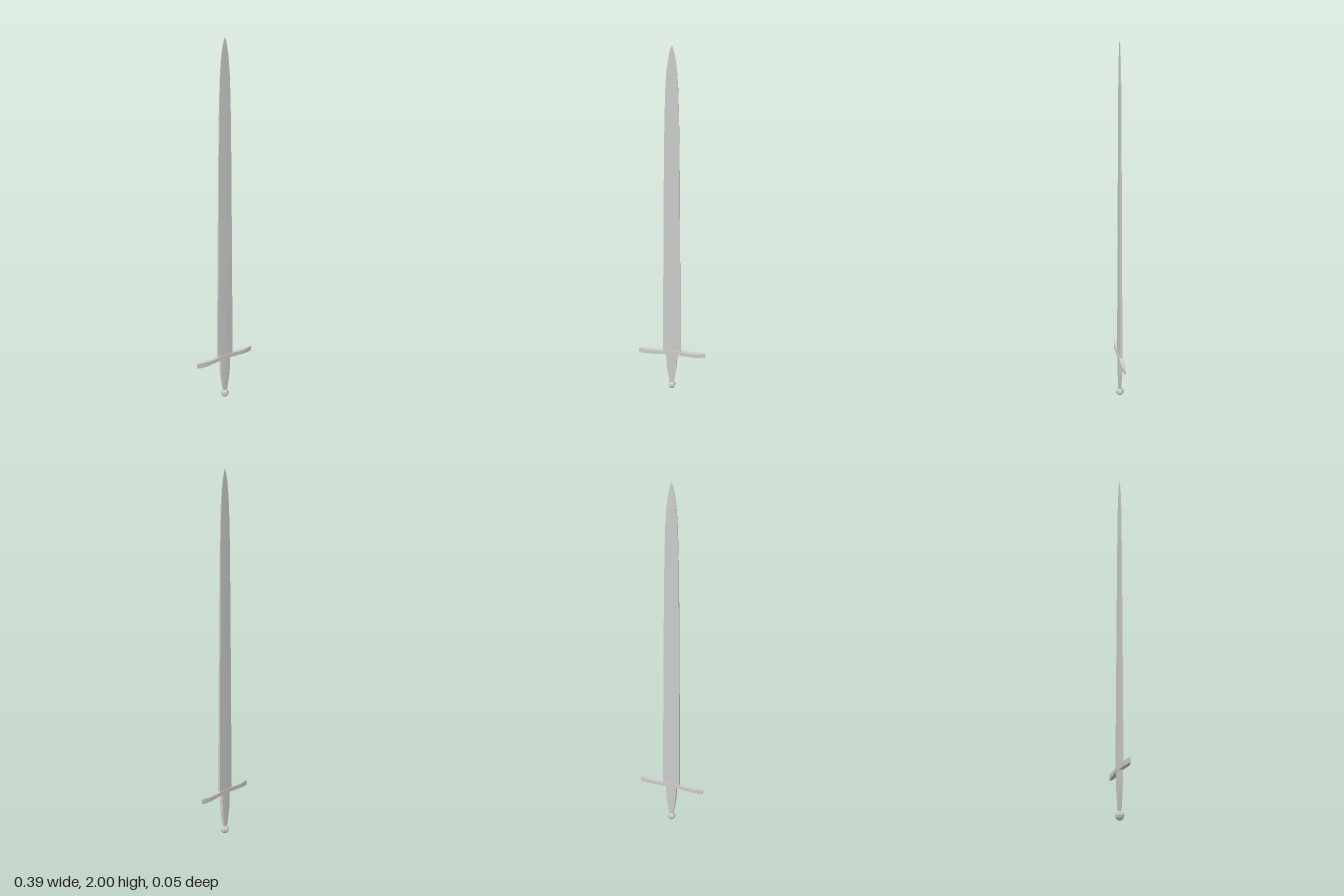
import * as THREE from 'three';

const material = new THREE.MeshStandardMaterial({ color: 0xcccccc, flatShading: true });

// Join equal-sized rings of points (counter-clockwise seen from the far end) and cap both ends.
function loft(rings) {
  const n = rings[0].length;
  const pos = rings.flat(2);
  const index = [];
  for (let r = 0; r < rings.length - 1; r++) {
    for (let i = 0; i < n; i++) {
      const a = r * n + i, b = r * n + (i + 1) % n;
      index.push(a, b, b + n, a, b + n, a + n);
    }
  }
  const last = (rings.length - 1) * n;
  for (let i = 1; i < n - 1; i++) {
    index.push(0, i + 1, i, last, last + i, last + i + 1);
  }
  const indexed = new THREE.BufferGeometry();
  indexed.setAttribute('position', new THREE.Float32BufferAttribute(pos, 3));
  indexed.setIndex(index);
  const geometry = indexed.toNonIndexed();
  geometry.computeVertexNormals();
  return geometry;
}

// Upright section: square edges and a faint ridge down the middle of each face.
const upright = ([y, w, t]) => [
  [w, y, t * 0.85], [w, y, -t * 0.85], [0, y, -t],
  [-w, y, -t * 0.85], [-w, y, t * 0.85], [0, y, t],
];

// Rectangular section across the guard.
const across = ([x, low, high, t]) => [
  [x, low, t], [x, low, -t], [x, high, -t], [x, high, t],
];

export function createModel() {
  const group = new THREE.Group();
  const add = (name, geometry) => {
    const mesh = new THREE.Mesh(geometry, material);
    mesh.name = name;
    group.add(mesh);
    return mesh;
  };

  // Blade: height, half width, half thickness
  add('blade', loft([
    [0.25, 0.051, 0.009], [0.64, 0.048, 0.0075], [1.0, 0.045, 0.006],
    [1.4, 0.041, 0.0045], [1.65, 0.037, 0.0035], [1.8, 0.032, 0.003],
    [1.88, 0.026, 0.0025], [1.94, 0.018, 0.002], [1.98, 0.009, 0.0015],
    [2.0, 0.001, 0.001],
  ].map(upright)));

  // Crossguard: half profile mirrored to both sides
  const half = [
    [0.05, 0.24, 0.263, 0.012], [0.09, 0.237, 0.259, 0.012],
    [0.14, 0.234, 0.259, 0.012], [0.18, 0.233, 0.261, 0.006], [0.195, 0.236, 0.262, 0.003],
  ];
  const mirrored = half.map(([x, ...rest]) => [-x, ...rest]).reverse();
  add('crossguard', loft([...mirrored, [0, 0.241, 0.266, 0.012], ...half].map(across)));

  // Grip
  add('grip', loft([
    [0.035, 0.01, 0.008], [0.06, 0.014, 0.009], [0.1, 0.021, 0.01],
    [0.15, 0.028, 0.011], [0.2, 0.031, 0.011], [0.25, 0.032, 0.011],
  ].map(upright)));

  // Six-sided pommel with corners facing front and back
  const pommel = add('pommel', new THREE.SphereGeometry(0.024, 6, 6));
  pommel.rotation.y = Math.PI / 2;
  pommel.position.y = 0.024;

  return group;
}
